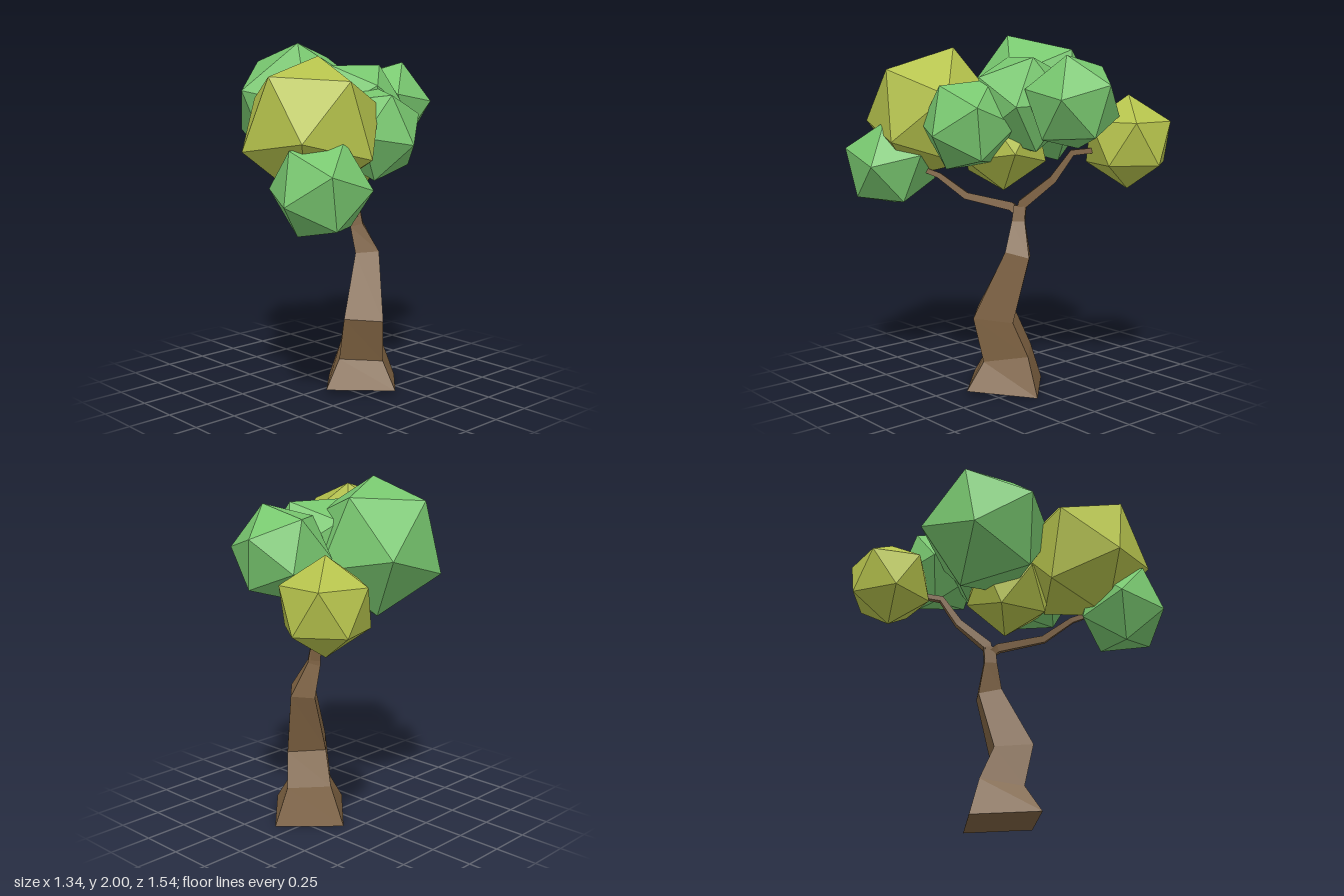
import * as THREE from 'three';

const V = (p) => new THREE.Vector3(...p);
const mat = (color) => new THREE.MeshStandardMaterial({ color, flatShading: true });

// Four-sided tapering limb; each ring is [x, y, z, radius], square to the path
function limb(name, rings, material) {
  const up = new THREE.Vector3(0, 1, 0);
  const centres = rings.map((r) => V(r.slice(0, 3)));
  const last = rings.length - 1;
  const corners = rings.map((r, j) => {
    const dir = centres[Math.min(j + 1, last)].clone().sub(centres[Math.max(j - 1, 0)]).normalize();
    const q = new THREE.Quaternion().setFromUnitVectors(up, dir);
    return [0, 1, 2, 3].map((i) => {
      const a = (i * Math.PI) / 2;
      return new THREE.Vector3(Math.cos(a), 0, Math.sin(a))
        .multiplyScalar(r[3]).applyQuaternion(q).add(centres[j]);
    });
  });
  const tris = [];
  for (let i = 0; i < 4; i++) {
    const k = (i + 1) % 4;
    for (let j = 0; j < last; j++) {
      const lo = corners[j], hi = corners[j + 1];
      tris.push(lo[i], hi[i], hi[k], lo[i], hi[k], lo[k]);
    }
    tris.push(centres[0], corners[0][i], corners[0][k]);
    tris.push(centres[last], corners[last][k], corners[last][i]);
  }
  const geo = new THREE.BufferGeometry().setFromPoints(tris);
  geo.computeVertexNormals();
  const mesh = new THREE.Mesh(geo, material);
  mesh.name = name;
  return mesh;
}

// Rotation frame spanned by two neighbouring corner directions
function frame(a, b) {
  const x = a.clone().normalize();
  const z = a.clone().cross(b).normalize();
  return new THREE.Matrix4().makeBasis(x, z.clone().cross(x), z);
}

// Icosahedral leaf clump, turned so two neighbouring corners point along a and b
function clump(name, centre, radius, a, b, material) {
  const t = (1 + Math.sqrt(5)) / 2;
  const source = frame(V([-1, t, 0]), V([1, t, 0]));
  const mesh = new THREE.Mesh(new THREE.IcosahedronGeometry(radius, 0), material);
  mesh.name = name;
  mesh.quaternion.setFromRotationMatrix(frame(V(a), V(b)).multiply(source.transpose()));
  mesh.position.set(...centre);
  return mesh;
}

export function createModel() {
  const tree = new THREE.Group();
  tree.name = 'tree';
  const bark = mat(0x7d6141);
  const green = mat(0x78c76f);
  const olive = mat(0xb5c24c);

  // Trunk and its two branches
  tree.add(
    limb('trunk', [
      [0.095, 0.018, -0.12, 0.28],
      [0.085, 0.205, -0.13, 0.178],
      [0.145, 0.428, -0.09, 0.158],
      [0.065, 0.785, -0.195, 0.097],
      [0.02, 0.955, -0.15, 0.052],
      [0.01, 1.05, -0.145, 0.042],
    ], bark),
    limb('frontBranch', [
      [0.01, 1.0, -0.15, 0.03],
      [0.03, 1.04, -0.1, 0.034],
      [0.18, 1.09, 0.12, 0.028],
      [0.26, 1.2, 0.27, 0.022],
      [0.36, 1.26, 0.4, 0.018],
    ], bark),
    limb('backBranch', [
      [0.01, 0.97, -0.15, 0.04],
      [0.0, 1.06, -0.16, 0.038],
      [-0.12, 1.2, -0.28, 0.03],
      [-0.2, 1.35, -0.35, 0.024],
      [-0.36, 1.375, -0.5, 0.018],
    ], bark)
  );

  // Leaf clumps: name, centre, radius, two neighbouring corner directions, material
  const clumps = [
    ['bigLeftLeaves', [-0.26, 1.636, 0.048], 0.393, [0.11, 0.364, 0.102], [-0.29, 0.254, 0.072], green],
    ['bigFrontLeaves', [0.228, 1.557, 0.381], 0.397, [-0.073, 0.373, -0.111], [0.307, 0.253, 0.009], olive],
    ['lowFrontLeaves', [0.437, 1.265, 0.507], 0.275, [0.232, 0.095, 0.13], [0.115, 0.245, -0.057], green],
    ['lowBackLeaves', [-0.45, 1.41, -0.535], 0.262, [0, 1, 0], [0, 0.447, 0.894], olive],
    ['backLeaves', [-0.073, 1.635, -0.48], 0.272, [0.09, 0.255, -0.045], [-0.2, 0.18, -0.03], green],
    ['rightLeaves', [0.28, 1.51, -0.03], 0.277, [0.27, -0.05, -0.03], [0.12, 0.1, -0.22], green],
    ['topLeaves', [0.0, 1.62, -0.15], 0.3, [-0.03, 0.245, 0.15], [0.05, 0.26, -0.15], green],
    ['innerLeaves', [0.04, 1.4, -0.02], 0.275, [0.04, -0.26, -0.07], [-0.2, -0.15, 0.1], olive],
  ];
  for (const c of clumps) tree.add(clump(...c));
  return tree;
}
